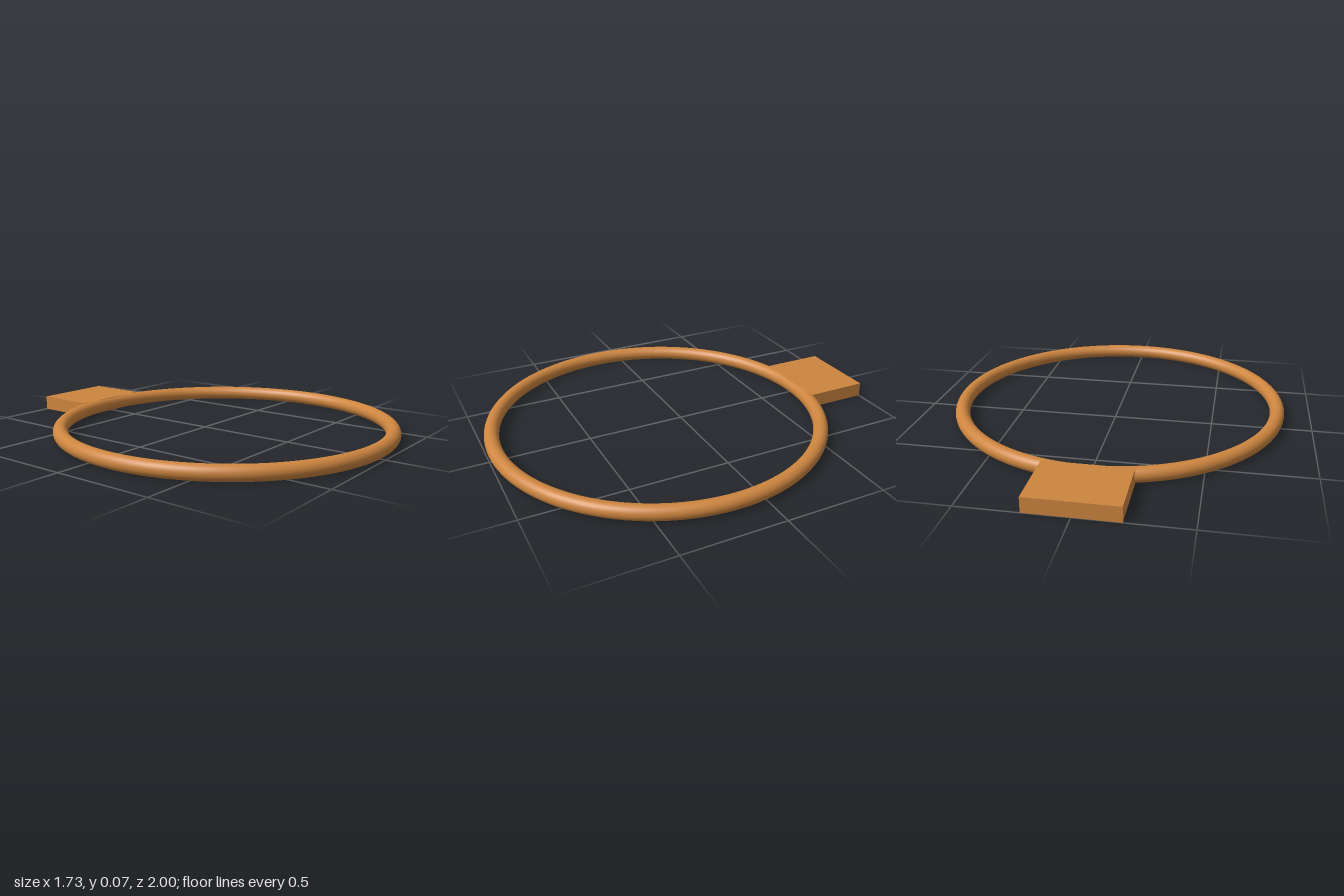
import * as THREE from 'three';

export function createModel() {
  const model = new THREE.Group();
  const copper = new THREE.MeshStandardMaterial({ color: 0xcd853f });
  copper.name = 'copper';

  const tube = 0.0365;
  const outer = 0.865;

  // Round hoop lying flat
  const hoop = new THREE.Mesh(new THREE.TorusGeometry(outer - tube, tube, 32, 128), copper);
  hoop.name = 'hoop';
  hoop.rotation.x = -Math.PI / 2;
  hoop.position.set(0, tube, 1 - outer);
  model.add(hoop);

  // Flat mounting tab at the back, flush with the hoop's top and bottom
  const back = -1, front = -0.68;
  const tab = new THREE.Mesh(new THREE.BoxGeometry(0.42, tube * 2, front - back), copper);
  tab.name = 'mountingTab';
  tab.position.set(0, tube, (front + back) / 2);
  model.add(tab);

  return model;
}
